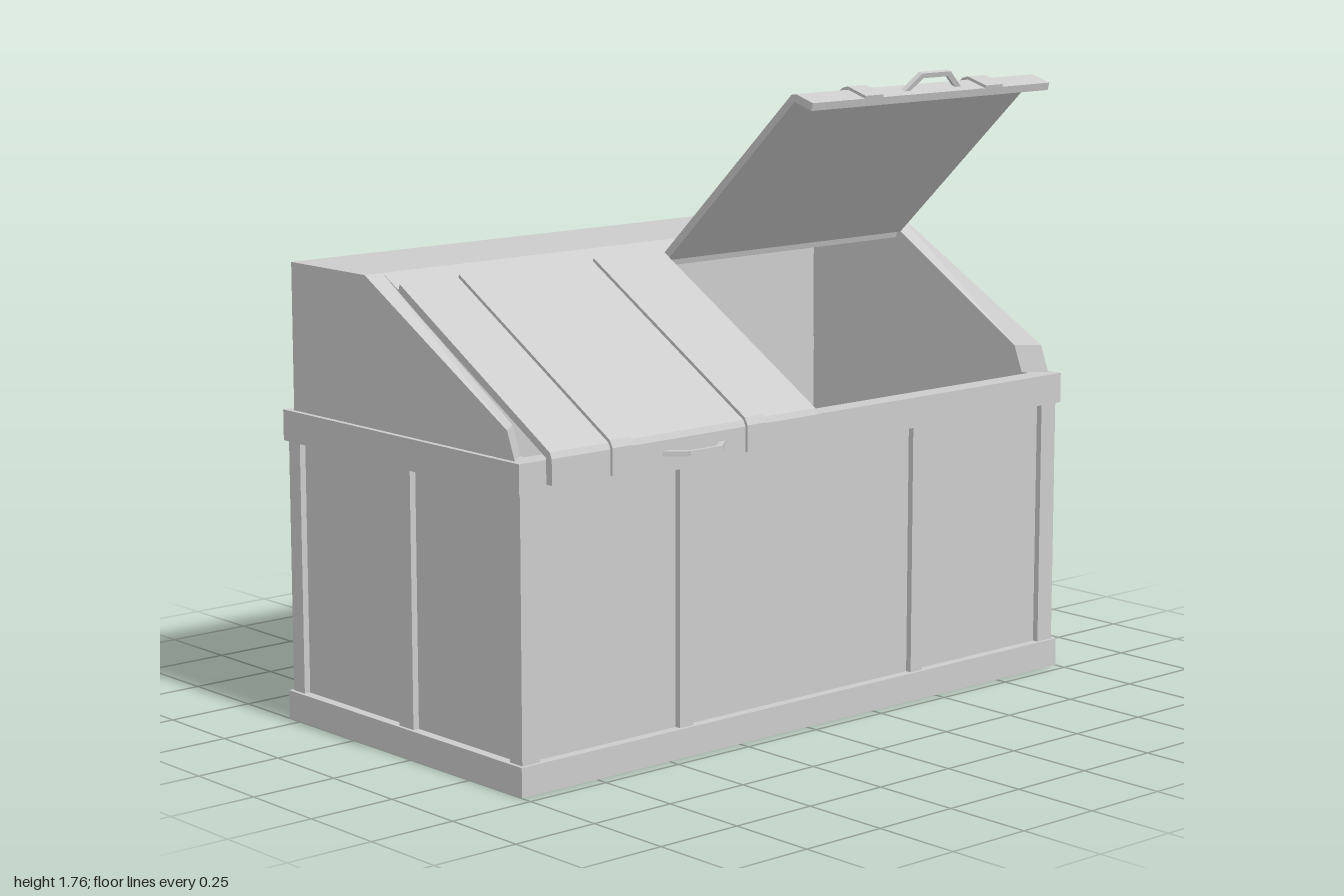
import * as THREE from 'three';

const material = new THREE.MeshStandardMaterial({ color: 0xcccccc, flatShading: true });
const ZC = -0.0425; // middle of the bin in z

function mesh(name, geometry, parent) {
  const m = new THREE.Mesh(geometry, material);
  m.name = name;
  parent.add(m);
  return m;
}

function box(name, parent, w, h, d, x, y, z) {
  return mesh(name, new THREE.BoxGeometry(w, h, d).translate(x, y, z), parent);
}

const shapeOf = (points) => new THREE.Shape(points.map(([a, b]) => new THREE.Vector2(a, b)));

// Extrudes a side profile of [z, y] points between x0 and x1.
function profileX(points, x0, x1) {
  const g = new THREE.ExtrudeGeometry(shapeOf(points), { depth: x1 - x0, bevelEnabled: false });
  return g.rotateY(-Math.PI / 2).translate(x1, 0, 0);
}

const rect = (hx, hz) => [[-hx, -hz], [hx, -hz], [hx, hz], [-hx, hz]];

// Hollow rectangular frame between two heights.
function ring(hx, hz, innerX, innerZ, y0, y1) {
  const shape = shapeOf(rect(hx, hz));
  shape.holes.push(shapeOf(rect(innerX, innerZ)));
  const g = new THREE.ExtrudeGeometry(shape, { depth: y1 - y0, bevelEnabled: false });
  return g.rotateX(-Math.PI / 2).translate(0, y0, ZC);
}

function createBin() {
  const bin = new THREE.Group();
  bin.name = 'bin';
  box('base', bin, 2, 0.08, 1.015, 0, 0.04, ZC);
  mesh('wallPanels', ring(0.972, 0.48, 0.93, 0.445, 0.08, 0.78), bin);
  mesh('rim', ring(1, 0.5075, 0.93, 0.445, 0.78, 0.865), bin);
  for (const sx of [-1, 1]) {
    for (const sz of [-1, 1]) {
      box('cornerPost', bin, 0.058, 0.7, 0.05, sx * 0.961, 0.43, ZC + sz * 0.4725);
      box('wallPost', bin, 0.045, 0.7, 0.04, sx * 0.432, 0.43, ZC + sz * 0.4775);
    }
    box('sidePost', bin, 0.04, 0.7, 0.06, sx * 0.97, 0.43, -0.03);
  }
  return bin;
}

function createHood() {
  const hood = new THREE.Group();
  hood.name = 'hood';
  const side = [[-0.52, 0.865], [0.43, 0.865], [0.4, 0.94], [-0.19, 1.27], [-0.52, 1.27]];
  for (const s of [-1, 1]) {
    const g = s > 0 ? profileX(side, 0.927, 0.985) : profileX(side, -0.985, -0.927);
    // Slant the front end back towards the inside
    const p = g.attributes.position;
    for (let i = 0; i < p.count; i++) {
      if (Math.abs(p.getX(i)) < 0.95 && p.getZ(i) > 0.3) p.setZ(i, p.getZ(i) - 0.05);
    }
    g.computeVertexNormals();
    mesh('sideWall', g, hood);
  }
  // Back wall, flat top and sloping hinge strip in one section
  mesh('backAndTop', profileX([
    [-0.52, 0.865], [-0.487, 0.865], [-0.487, 1.24], [-0.2, 1.24],
    [-0.135, 1.205], [-0.125, 1.234], [-0.19, 1.27], [-0.52, 1.27],
  ], -0.927, 0.927), hood);
  return hood;
}

// Lid section in [z, y] from the hinge; lift raises the outer face, for the straps.
function lidSection(lift) {
  return [
    [-0.008, -0.01], [0.598, -0.362], [0.598, -0.43],
    [0.62 + lift, -0.43], [0.62 + lift, -0.362 + lift / 2],
    [0.612 + lift / 2, -0.346 + lift], [lift / 2, 0.012 + lift],
  ];
}

function createLid(name, centreX, angle) {
  const lid = new THREE.Group();
  lid.name = name;
  mesh('lidPanel', profileX(lidSection(0), -0.4605, 0.4605), lid);
  for (const x of [-0.233, 0.233]) {
    mesh('lidStrap', profileX(lidSection(0.008), x - 0.034, x + 0.034), lid);
  }
  // Bent flat-bar handle on the front lip
  const bar = shapeOf([
    [-0.112, 0], [-0.055, 0.05], [0.055, 0.05], [0.112, 0],
    [0.09, 0], [0.047, 0.036], [-0.047, 0.036], [-0.09, 0],
  ].reverse());
  const handle = new THREE.ExtrudeGeometry(bar, { depth: 0.014, bevelEnabled: false });
  handle.rotateX(Math.PI / 2).translate(0.018, -0.39, 0.618);
  mesh('handle', handle, lid);
  lid.position.set(centreX, 1.235, -0.12);
  lid.rotation.x = -angle;
  return lid;
}

export function createModel() {
  const model = new THREE.Group();
  model.name = 'storageBin';
  model.add(createBin(), createHood());
  model.add(createLid('closedLid', -0.4625, 0));
  model.add(createLid('openLid', 0.4625, THREE.MathUtils.degToRad(73.2)));
  return model;
}
